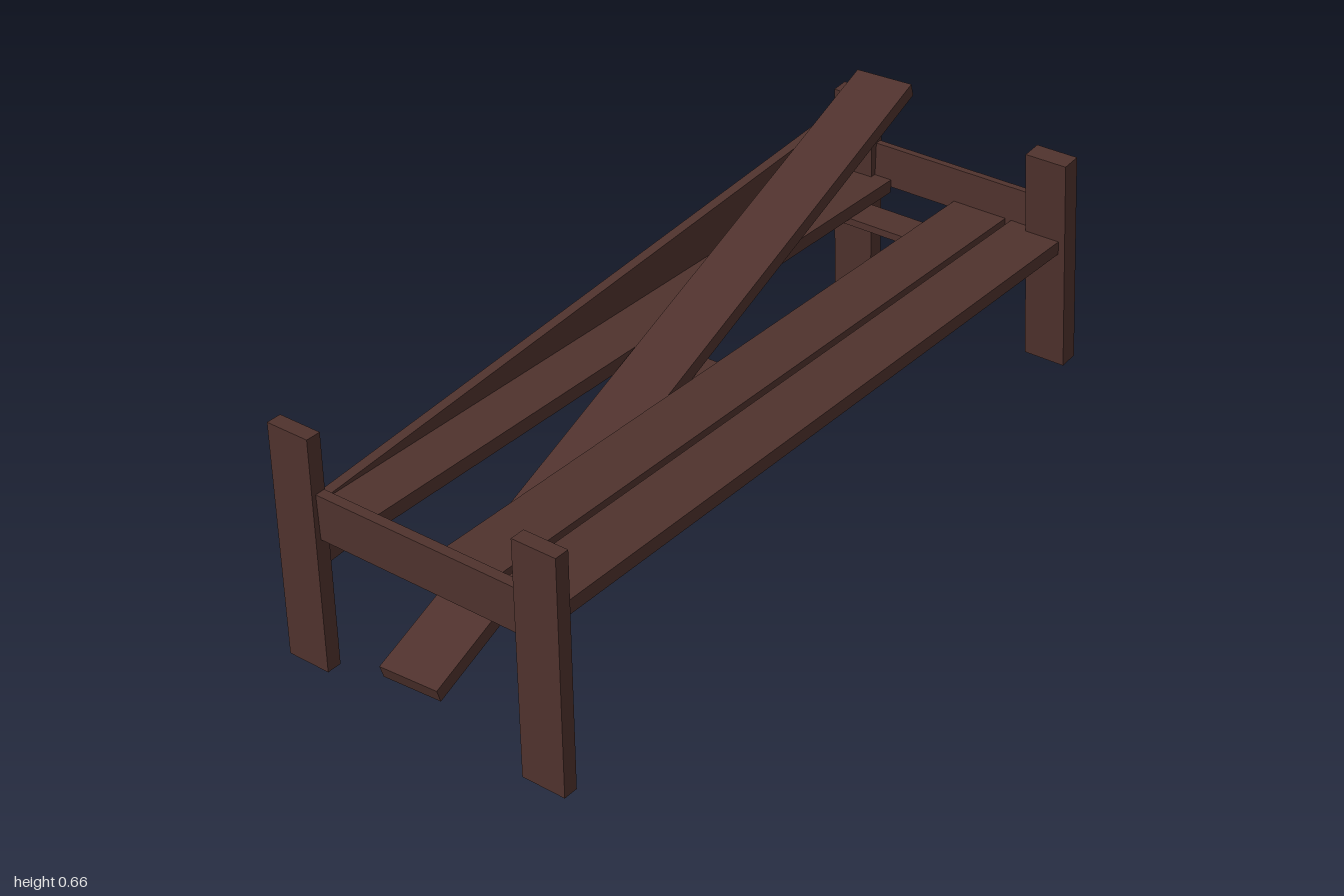
import * as THREE from 'three';

const wood = new THREE.MeshStandardMaterial({ color: 0x4f322d, flatShading: true });

// One plank: size and centre as [x, y, z], with an optional tilt
function plank(group, name, size, centre, tilt = [0, 0, 0]) {
  const mesh = new THREE.Mesh(new THREE.BoxGeometry(...size), wood);
  mesh.name = name;
  mesh.position.set(...centre);
  mesh.rotation.set(...tilt);
  group.add(mesh);
  return mesh;
}

// A plank running from one point to another
function beam(group, name, from, to, width, thickness) {
  const a = new THREE.Vector3(...from), b = new THREE.Vector3(...to);
  const mid = a.clone().add(b).multiplyScalar(0.5);
  const mesh = plank(group, name, [width, thickness, a.distanceTo(b)], mid.toArray());
  mesh.lookAt(b);
  return mesh;
}

export function createModel() {
  const bed = new THREE.Group();
  bed.name = 'brokenBedFrame';

  // Upright front legs and the rail between them
  plank(bed, 'frontLegRight', [0.107, 0.56, 0.036], [-0.31, 0.295, 0.981]);
  plank(bed, 'frontLegLeft', [0.107, 0.561, 0.036], [0.315, 0.282, 0.981]);
  plank(bed, 'frontRail', [0.56, 0.108, 0.024], [0.002, 0.389, 0.975], [0.03, 0, 0]);

  // Back legs leaning inwards, and their rail
  plank(bed, 'backLegRight', [0.107, 0.56, 0.045], [-0.31, 0.286, -0.946], [0.06, 0.03, -0.015]);
  plank(bed, 'backLegLeft', [0.107, 0.56, 0.05], [0.244, 0.286, -0.945], [0.1, 0, 0]);
  plank(bed, 'backRail', [0.51, 0.105, 0.018], [-0.005, 0.386, -0.947]);

  // Remaining slats, with the gap where one has come loose
  for (const x of [-0.28, 0.047, 0.208]) {
    plank(bed, 'slat', [0.145, 0.034, 1.9], [x, 0.336, 0.013]);
  }

  // Cleats under the slats
  for (const z of [-0.81, 0]) {
    plank(bed, 'cleat', [0.58, 0.018, 0.09], [-0.03, 0.311, z]);
  }

  // Slipped side board and the loose slat lying across the frame
  beam(bed, 'sideBoard', [-0.343, 0.272, 0.968], [-0.343, 0.436, -0.92], 0.025, 0.155);
  beam(bed, 'looseSlat', [-0.075, 0.04, 0.95], [-0.189, 0.645, -0.87], 0.147, 0.034);

  return bed;
}
